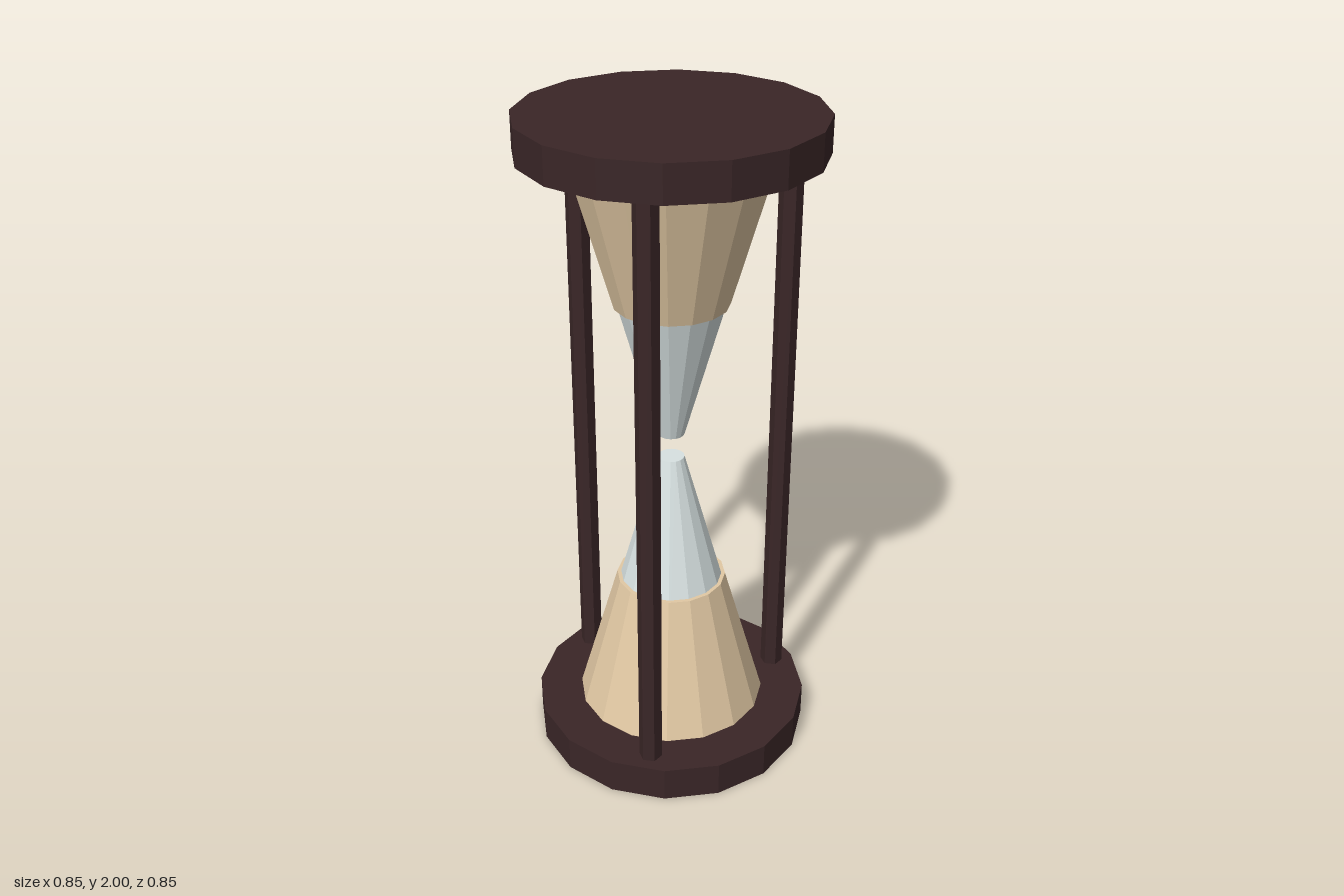
import * as THREE from 'three';

export function createModel() {
  const flat = (name, color) => {
    const m = new THREE.MeshStandardMaterial({ color, flatShading: true });
    m.name = name;
    return m;
  };
  const wood = flat('dark wood', 0x3a2627);
  const glass = flat('pale glass', 0xd8e2e2);
  const sand = flat('sand', 0xe2c9a4);

  const model = new THREE.Group();
  model.name = 'hourglass';

  // Upright cylinder or cone between two heights
  const add = (name, material, rTop, rBottom, y0, y1, sides, x = 0, z = 0) => {
    const mesh = new THREE.Mesh(new THREE.CylinderGeometry(rTop, rBottom, y1 - y0, sides), material);
    mesh.position.set(x, (y0 + y1) / 2, z);
    mesh.name = name;
    model.add(mesh);
  };

  // End plates
  add('basePlate', wood, 0.427, 0.427, 0, 0.11, 16);
  add('topPlate', wood, 0.427, 0.427, 1.895, 2, 16);

  // Lower bulb with its sand
  add('lowerGlass', glass, 0.04, 0.28, 0.1, 0.963, 16);
  add('lowerSand', sand, 0.168, 0.293, 0.108, 0.545, 16);

  // Upper bulb with its sand
  add('upperGlass', glass, 0.28, 0.04, 1.04, 1.9, 16);
  add('upperSand', sand, 0.293, 0.168, 1.46, 1.897, 16);

  // Three hexagonal posts, evenly spaced
  for (let i = 0; i < 3; i++) {
    const a = (i * Math.PI * 2) / 3;
    add('post' + (i + 1), wood, 0.035, 0.035, 0.1, 1.9, 6, 0.355 * Math.cos(a), 0.355 * Math.sin(a));
  }
  return model;
}
